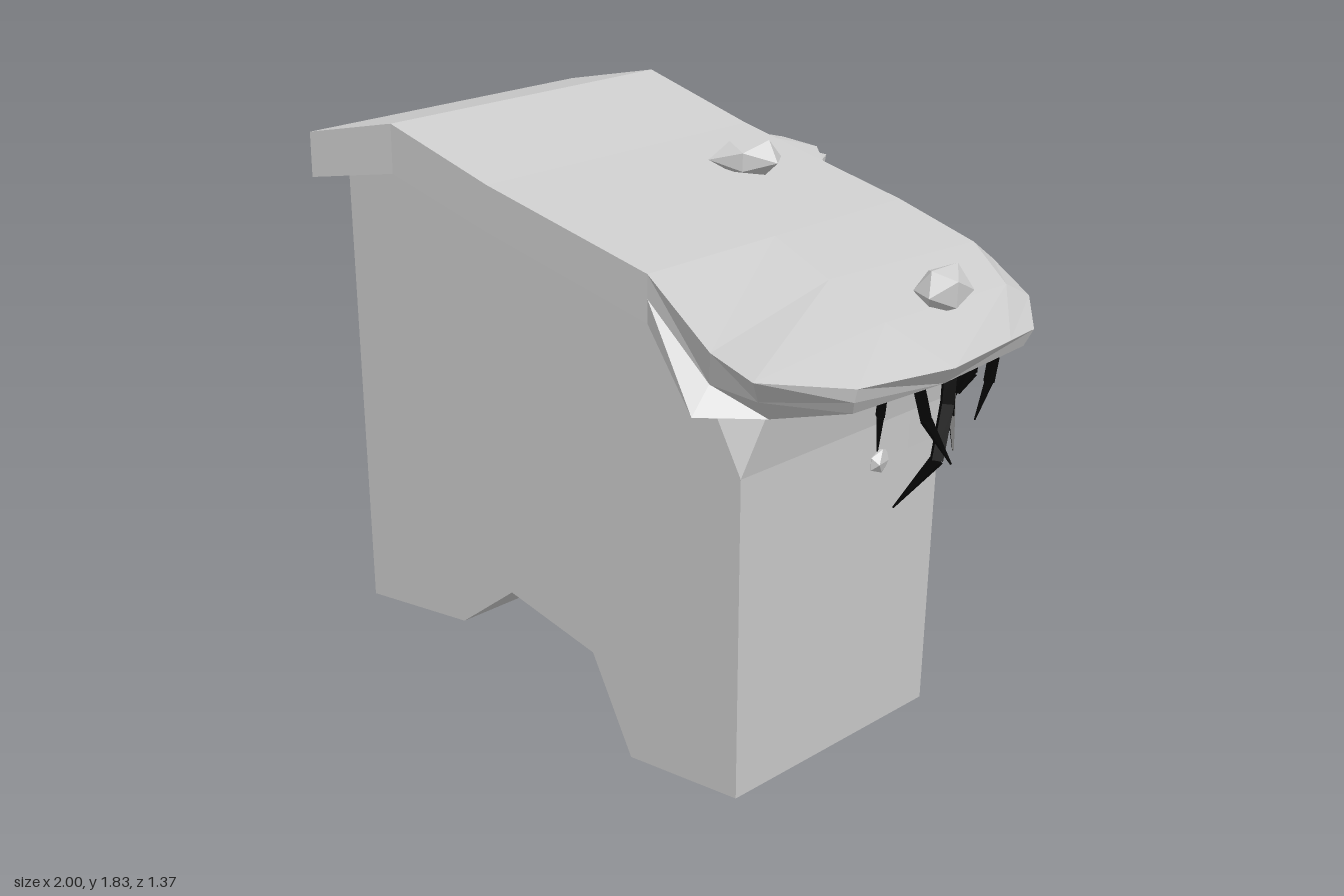
import * as THREE from 'three';
import { ConvexGeometry } from 'three/addons/geometries/ConvexGeometry.js';

const stone = new THREE.MeshStandardMaterial({ color: 0xcccccc, flatShading: true, side: THREE.DoubleSide });
const dark = new THREE.MeshStandardMaterial({ color: 0x050505, flatShading: true });
const vec = (p) => new THREE.Vector3(...p);

function add(group, name, geometry, material = stone) {
  const mesh = new THREE.Mesh(geometry, material);
  mesh.name = name;
  group.add(mesh);
  return mesh;
}

// Extrude an outline in x,y between two z values, leaning outwards with height
function block(outline, z0, z1, adjust) {
  const shape = new THREE.Shape(outline.map(([x, y]) => new THREE.Vector2(x, y)));
  const geo = new THREE.ExtrudeGeometry(shape, { depth: z1 - z0, bevelEnabled: false });
  geo.translate(0, 0, z0);
  const p = geo.attributes.position;
  for (let i = 0; i < p.count; i++) {
    const v = new THREE.Vector3().fromBufferAttribute(p, i);
    if (adjust) adjust(v);
    p.setXYZ(i, v.x, v.y, v.z * (0.96 + 0.04 * Math.min(v.y, 1.2)));
  }
  geo.computeVertexNormals();
  return geo;
}

// Closed skin through rings of points placed along x
function loft(rings) {
  const n = rings[0].length, index = [];
  for (let i = 0; i < rings.length - 1; i++) {
    for (let j = 0; j < n; j++) {
      const a = i * n + j, b = i * n + (j + 1) % n;
      index.push(a, a + n, b, a + n, b + n, b);
    }
  }
  const last = (rings.length - 1) * n;
  for (let k = 1; k < n - 1; k++) {
    const a = (5 + k) % n, b = (6 + k) % n;
    index.push(5, a, b, last + 5, last + b, last + a);
  }
  const geo = new THREE.BufferGeometry();
  geo.setAttribute('position', new THREE.Float32BufferAttribute(rings.flat(2), 3));
  geo.setIndex(index);
  geo.computeVertexNormals();
  return geo;
}

// Uneven faceted stone
function rock(group, name, pos, size, seed) {
  const geo = new THREE.IcosahedronGeometry(0.5, 0);
  const p = geo.attributes.position;
  for (let i = 0; i < p.count; i++) {
    const [x, y, z] = [p.getX(i), p.getY(i), p.getZ(i)];
    const k = 1.02 + 0.14 * Math.sin(9 * x + 13 * y + 17 * z + seed);
    p.setXYZ(i, x * k, y * k, z * k);
  }
  geo.computeVertexNormals();
  const mesh = add(group, name, geo);
  mesh.position.set(...pos);
  mesh.scale.set(...size);
  mesh.rotation.y = seed;
}

// Tapering, bent four-sided strand
function root(group, points, radius) {
  for (let i = 0; i < points.length - 1; i++) {
    const a = vec(points[i]), b = vec(points[i + 1]), d = b.clone().sub(a);
    const r = (k) => (k === points.length - 1 ? 0.003 : radius * (1 - 0.25 * k / points.length));
    const geo = new THREE.CylinderGeometry(r(i + 1), r(i), d.length(), 4);
    const mesh = add(group, 'rootSegment', geo, dark);
    mesh.position.copy(a).add(b).multiplyScalar(0.5);
    mesh.quaternion.setFromUnitVectors(new THREE.Vector3(0, 1, 0), d.normalize());
  }
}

export function createModel() {
  const model = new THREE.Group();
  model.name = 'rockLedge';

  // Cliff body, with the back layer split by a crack
  const bottom = [[-1, 0.18], [-0.56, 0.22], [-0.33, 0.39], [0.02, 0.3], [0.17, 0], [0.59, 0.02]];
  const top = [[0.66, 1.26], [0.38, 1.45], [-0.62, 1.74], [-1, 1.68]];
  const right = [0.615, 1.02];
  add(model, 'cliffBody', block([...bottom, right, ...top], -0.3, 0.455, (v) => {
    if (v.z > 0.4 && v.x > 0.65) v.z = 0.36;
  }));
  const crack = [[-1, 0.7], [-0.77, 0.73], [-0.33, 0.83], [0.17, 0.77], [0.43, 0.87], [0.61, 0.9]];
  add(model, 'cliffBackLower', block([...bottom, ...crack.slice().reverse()], -0.455, -0.3));
  const upperEdge = [[-1, 0.7], [-0.77, 0.73], [-0.42, 0.93], [-0.34, 1.02], [0.16, 0.9], [0.43, 0.87], [0.61, 0.9]];
  add(model, 'cliffBackUpper', block([...upperEdge, right, ...top], -0.455, -0.3, (v) => {
    const mid = v.x > -0.5 && v.x < 0.3 && v.y < 1.1;
    if (mid && v.z > -0.4) v.y -= 0.1;
    if (mid && v.z < -0.4 && v.x > -0.4) v.z = -0.41;
  }));

  // Overhanging cap slab: straight stations, then the flared curved lip
  const station = (x, t, b, f, k) => [
    [x, t, f], [x, t, 0.05], [x, t, k + 0.04], [x, t - 0.06, k],
    [x, b, k + 0.03], [x, b, 0], [x, b, f], [x, (t + b) / 2, f],
  ];
  add(model, 'capSlab', loft([
    station(-1, 1.76, 1.62, 0.6, -0.55),
    station(-0.66, 1.83, 1.68, 0.567, -0.58),
    station(-0.25, 1.715, 1.575, 0.567, -0.58),
    station(0.38, 1.58, 1.44, 0.572, -0.565),
    [[0.65, 1.43, 0.62], [0.62, 1.51, 0.1], [0.64, 1.49, -0.55], [0.66, 1.43, -0.62],
      [0.66, 1.3, -0.56], [0.65, 1.25, 0], [0.63, 1.26, 0.67], [0.62, 1.33, 0.59]],
    [[0.85, 1.41, 0.68], [0.82, 1.43, 0.1], [0.83, 1.42, -0.45], [0.85, 1.37, -0.54],
      [0.82, 1.25, -0.48], [0.82, 1.23, 0], [0.75, 1.24, 0.5], [0.79, 1.32, 0.59]],
    [[0.95, 1.34, 0.38], [1, 1.32, 0.02], [0.97, 1.32, -0.28], [0.94, 1.31, -0.44],
      [0.92, 1.26, -0.42], [0.95, 1.26, 0], [0.92, 1.26, 0.36], [0.94, 1.3, 0.38]],
  ]));

  // Bulge and hanging points at the back of the cap
  const hull = (name, pts) => add(model, name, new ConvexGeometry(pts.map(vec)));
  hull('backBulge', [[-0.38, 1.68, -0.56], [0.08, 1.61, -0.55], [-0.22, 1.65, -0.69], [-0.08, 1.64, -0.69],
    [-0.28, 1.54, -0.57], [0.03, 1.5, -0.57], [-0.12, 1.56, -0.68]]);
  hull('backSpike', [[-0.19, 1.63, -0.68], [-0.04, 1.62, -0.69], [-0.15, 1.56, -0.6], [-0.05, 1.55, -0.6],
    [-0.12, 1.48, -0.685], [-0.09, 1.3, -0.655]]);
  hull('backSpikeSmall', [[-0.04, 1.6, -0.6], [0.07, 1.58, -0.6], [0, 1.58, -0.52], [0.03, 1.35, -0.57]]);
  hull('frontSpike', [[0.6, 1.27, 0.32], [0.72, 1.27, 0.3], [0.66, 1.27, 0.2], [0.65, 1.16, 0.23]]);

  // Loose stones on and under the cap
  rock(model, 'topStone', [0.03, 1.7, -0.23], [0.22, 0.12, 0.17], 0.5);
  rock(model, 'lipStone', [0.81, 1.46, -0.17], [0.18, 0.16, 0.17], 1.3);
  rock(model, 'backStone', [-0.65, 1.46, -0.49], [0.25, 0.27, 0.23], 2.1);
  rock(model, 'underStone', [0.66, 1.2, -0.41], [0.1, 0.12, 0.11], 3.2);
  rock(model, 'sideStone', [0.61, 0.9, -0.16], [0.05, 0.08, 0.1], 0.1);

  // Roots hanging below the lip
  const roots = new THREE.Group();
  roots.name = 'hangingRoots';
  model.add(roots);
  root(roots, [[0.78, 1.26, 0.04], [0.75, 1.12, 0.02], [0.72, 1, -0.01]], 0.015);
  root(roots, [[0.85, 1.28, 0], [0.88, 1.13, -0.02], [0.92, 0.99, -0.09]], 0.02);
  root(roots, [[0.87, 1.28, -0.14], [0.87, 1.15, -0.13], [0.87, 0.99, -0.09], [0.76, 0.83, -0.04]], 0.026);
  root(roots, [[0.83, 1.26, -0.21], [0.81, 1.16, -0.23], [0.8, 1.06, -0.26]], 0.014);
  root(roots, [[0.76, 1.26, -0.4], [0.75, 1.14, -0.42], [0.73, 1.08, -0.38]], 0.015);
  root(roots, [[0.81, 1.26, -0.45], [0.8, 1.12, -0.43], [0.77, 1, -0.41]], 0.018);
  root(roots, [[0.7, 1.27, -0.5], [0.67, 1.14, -0.5], [0.63, 1.03, -0.48], [0.69, 0.88, -0.42]], 0.023);
  return model;
}
